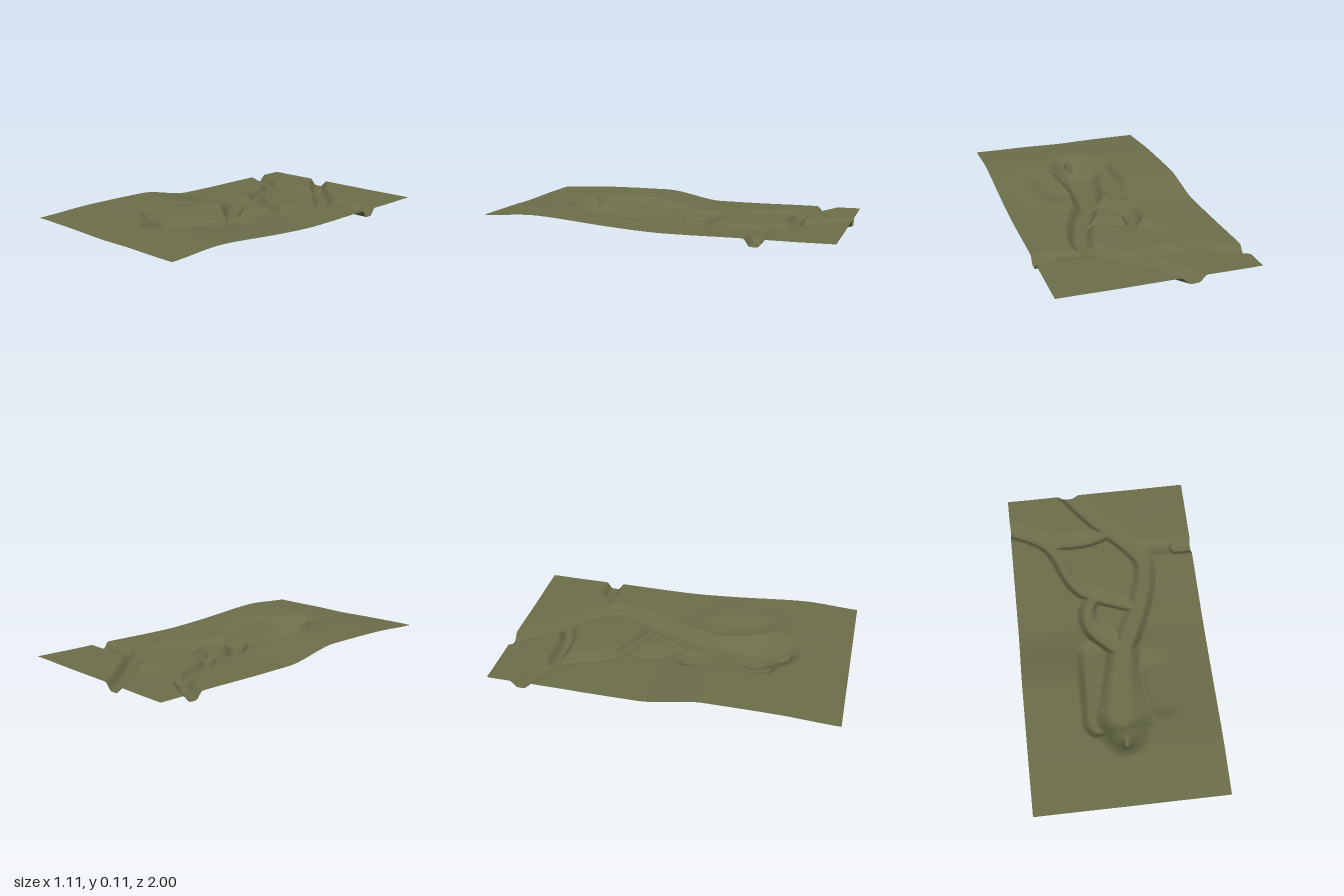
import * as THREE from 'three';

const { smoothstep, clamp, lerp } = THREE.MathUtils;

// A channel follows a smooth curve through [x, z] points; its flat half width,
// bank width and floor height run from a first to a last value.
function channel(points, width, bank, floor) {
  const curve = new THREE.SplineCurve(points.map(([x, z]) => new THREE.Vector2(x, z)));
  const path = curve.getPoints(points.length * 4);
  return { path, width, bank, floor };
}

const CHANNELS = [
  // stream from the back edge, round the right of the large island
  channel([[-0.19, -1.02], [-0.03, -0.82], [0.2, -0.58], [0.25, -0.45], [0.19, -0.22], [0.06, 0.06]],
    [0.015, 0.03], [0.042, 0.06], [0.01, 0]),
  // main valley and its closing slope
  channel([[0.06, 0.06], [0.02, 0.25], [0, 0.46]], [0.035, 0.05], [0.07, 0.17], [0, 0]),
  channel([[0, 0.46], [0.01, 0.58]], [0.05, 0.02], [0.17, 0.13], [0, 0.035]),
  // stream from the left edge, round the left of the large island
  channel([[-0.58, -0.81], [-0.33, -0.67], [-0.2, -0.4], [-0.08, -0.3], [0.17, -0.2]],
    [0.015, 0.01], [0.045, 0.04], [0.01, 0.002]),
  // link between the two streams
  channel([[-0.33, -0.68], [-0.1, -0.68], [0.04, -0.72]], [0.012, 0.012], [0.045, 0.05], [0.008, 0.008]),
  // round the left of the small island
  channel([[-0.08, -0.3], [-0.13, -0.2], [-0.1, -0.08], [0.06, 0.08]], [0.015, 0.025], [0.04, 0.06], [0.003, 0]),
  // right edge notch and its shallow link
  channel([[0.46, -0.575], [0.58, -0.575]], [0.015, 0.02], [0.045, 0.04], [0.008, 0.008]),
  channel([[0.22, -0.59], [0.46, -0.575]], [0.01, 0.01], [0.05, 0.05], [0.035, 0.04]),
  // terrace on the left valley side, hollow on the right
  channel([[-0.13, 0.08], [-0.13, 0.5]], [0.04, 0.06], [0.06, 0.05], [0.05, 0.07]),
  channel([[0.2, 0.2], [0.24, 0.4]], [0.02, 0.03], [0.15, 0.12], [0.05, 0.07]),
  // small pit at the valley head
  channel([[0.01, 0.6], [0.012, 0.645]], [0.005, 0.01], [0.03, 0.025], [0.025, 0.012]),
];

// Uncut ground: low at the back, rising to a plateau that dips at the front edge
function groundHeight(x, z) {
  const leftRise = 0.061 * smoothstep(z, -0.12, 0.27);
  const rightRise = 0.058 * smoothstep(z, -0.1, 0.8);
  const rise = lerp(leftRise, rightRise, smoothstep(x, -0.2, 0.5));
  const frontDrop = 0.016 * smoothstep(z, 0.65, 1.05);
  const middleDip = 0.006 * Math.exp(-x * x / 0.03) * smoothstep(z, 0.5, 0.7);
  const ripple = 0.0015 * Math.sin(7 * x + 5 * z) * Math.sin(6 * z - 3 * x);
  return 0.05 + rise - frontDrop - middleDip + ripple;
}

// Height after cutting one channel into the ground
function cut({ path, width, bank, floor }, x, z, top) {
  let h = top;
  const steps = path.length - 1;
  for (let i = 0; i < steps; i++) {
    const a = path[i], b = path[i + 1];
    const dx = b.x - a.x, dz = b.y - a.y;
    const t = clamp(((x - a.x) * dx + (z - a.y) * dz) / (dx * dx + dz * dz), 0, 1);
    const distance = Math.hypot(x - a.x - t * dx, z - a.y - t * dz);
    const u = (i + t) / steps;
    const r = lerp(...width, u);
    const s = smoothstep(distance, r, r + lerp(...bank, u));
    h = Math.min(h, lerp(Math.min(lerp(...floor, u), top), top, s));
  }
  return h;
}

function height(x, z) {
  const top = groundHeight(x, z);
  return Math.min(...CHANNELS.map((c) => cut(c, x, z, top)));
}

export function createModel() {
  const earth = new THREE.MeshStandardMaterial({ color: 0x6b6d49, side: THREE.DoubleSide });
  earth.name = 'olive earth';

  // Single open sheet shaped by the height rule
  const sheet = new THREE.PlaneGeometry(1.11, 2, 150, 270).rotateX(-Math.PI / 2);
  const p = sheet.attributes.position;
  for (let i = 0; i < p.count; i++) p.setY(i, height(p.getX(i), p.getZ(i)));
  sheet.computeVertexNormals();

  const terrain = new THREE.Mesh(sheet, earth);
  terrain.name = 'terrain';
  const group = new THREE.Group();
  group.name = 'valley terrain';
  group.add(terrain);
  return group;
}
